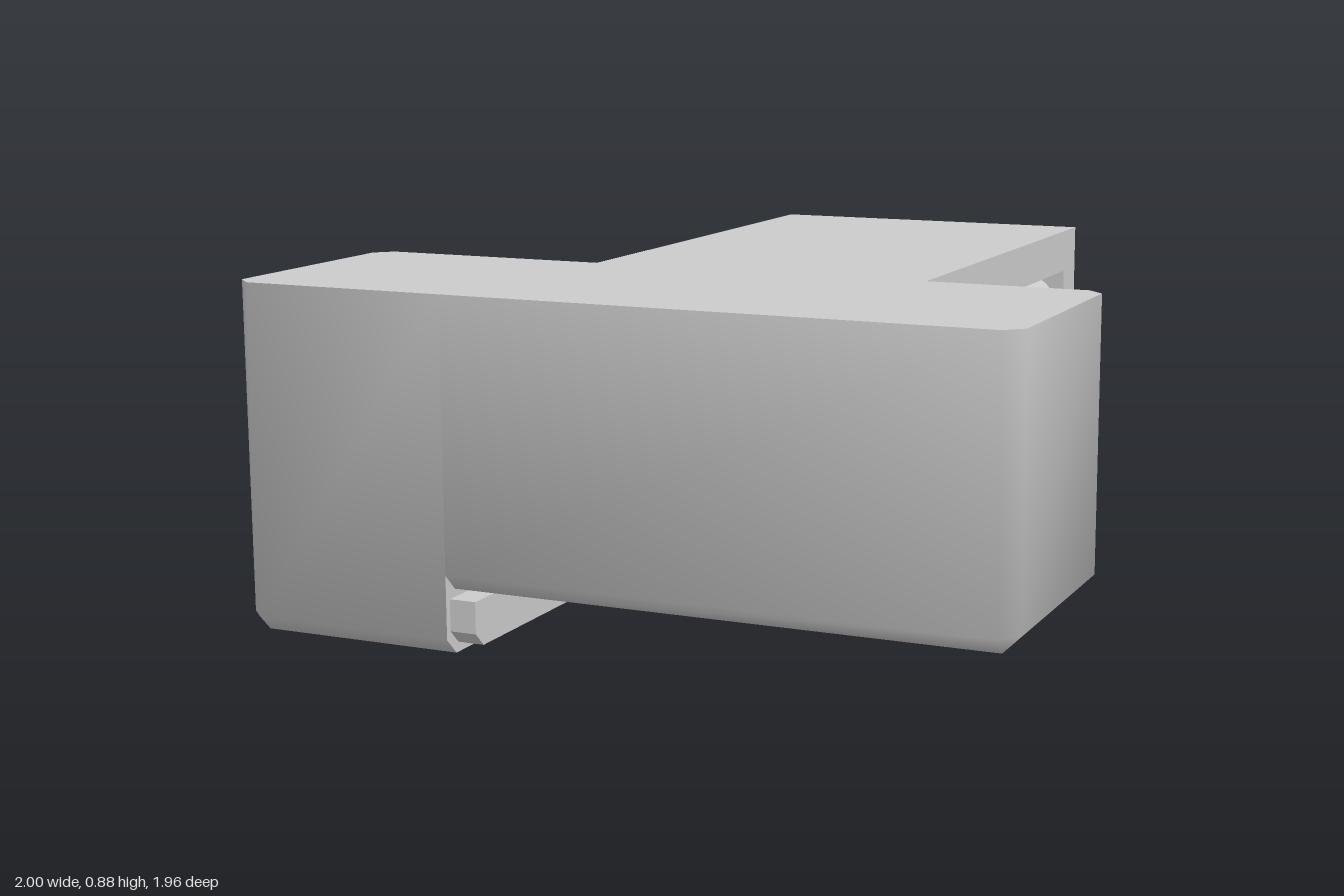
import * as THREE from 'three';

const material = new THREE.MeshStandardMaterial({ color: 0xcccccc, side: THREE.DoubleSide });

// Build a geometry from polygons, each split into a fan
function fromPolygons(polygons) {
  const pos = [];
  for (const p of polygons)
    for (let i = 1; i < p.length - 1; i++) pos.push(...p[0], ...p[i], ...p[i + 1]);
  const g = new THREE.BufferGeometry();
  g.setAttribute('position', new THREE.Float32BufferAttribute(pos, 3));
  g.computeVertexNormals();
  return g;
}

// Same from quads, with every face counting equally in the shared corner normals
function fromSmoothQuads(quads) {
  const sums = new Map();
  for (const q of quads) {
    const [a, b, c, d] = q.map((p) => new THREE.Vector3(...p));
    const normal = c.sub(a).cross(d.sub(b)).normalize();
    for (const key of new Set(q.map(String))) {
      if (!sums.has(key)) sums.set(key, new THREE.Vector3());
      sums.get(key).add(normal);
    }
  }
  const normals = [];
  for (const q of quads)
    for (const i of [0, 1, 2, 0, 2, 3]) normals.push(...sums.get(String(q[i])).clone().normalize());
  const g = fromPolygons(quads);
  g.setAttribute('normal', new THREE.Float32BufferAttribute(normals, 3));
  return g;
}

// Block from x = 0 to length, flat at x = 0, bevelled at the far end and underneath
function bevelledBlock(name, length, y0, y1, half, c) {
  const h = half - c, l = length - c;
  const outline = [[0, -half], [0, half], [l, half], [length, h], [length, -h], [l, -half]];
  const inset = [[0, -h], [0, h], [l, h], [l, h], [l, -h], [l, -h]];
  const ring = (pts, y) => pts.map(([x, z]) => [x, y, z]);
  const top = ring(outline, y1), mid = ring(outline, y0 + c), low = ring(inset, y0);

  const skin = [[low[0], low[4], low[2], low[1]]];
  for (const [a, b] of [[low, mid], [mid, top]])
    for (let i = 1; i < 6; i++) {
      const j = (i + 1) % 6;
      skin.push([a[i], a[j], b[j], b[i]]);
    }
  const caps = [top, [low[0], low[1], mid[1], top[1], top[0], mid[0]]];

  const group = new THREE.Group();
  group.name = name;
  for (const [part, g] of [['Shell', fromSmoothQuads(skin)], ['Caps', fromPolygons(caps)]]) {
    const mesh = new THREE.Mesh(g, material);
    mesh.name = name + part;
    group.add(mesh);
  }
  return group;
}

// Box given by its limits
function box(name, x0, x1, y0, y1, z0, z1) {
  const mesh = new THREE.Mesh(new THREE.BoxGeometry(x1 - x0, y1 - y0, z1 - z0), material);
  mesh.position.set((x0 + x1) / 2, (y0 + y1) / 2, (z0 + z1) / 2);
  mesh.name = name;
  return mesh;
}

export function createModel() {
  const model = new THREE.Group();
  model.name = 'model';

  // Front crossbar and the deeper block at its right end
  const zMid = 0.645, half = 0.335, joint = -0.42;
  const crossbar = bevelledBlock('crossbar', 1 - joint, 0.16, 0.88, half, 0.042);
  crossbar.position.set(joint, 0, zMid);
  const endBlock = bevelledBlock('endBlock', 1 + joint, 0, 0.88, half, 0.042);
  endBlock.rotation.y = Math.PI;
  endBlock.position.set(joint, 0, zMid);
  model.add(crossbar, endBlock);

  // Tab on the inner side of the end block
  const w = 0.313, c = 0.035;
  const tabShape = new THREE.Shape([
    [-w, 0.14], [-w, 0.025 + c], [c - w, 0.025], [w - c, 0.025], [w, 0.025 + c], [w, 0.14],
  ].map(([x, y]) => new THREE.Vector2(x, y)));
  const tabGeometry = new THREE.ExtrudeGeometry(tabShape, { depth: 0.07, bevelEnabled: false });
  tabGeometry.rotateY(Math.PI / 2);
  const tab = new THREE.Mesh(tabGeometry, material);
  tab.position.set(joint, 0, zMid + 0.005);
  tab.name = 'tab';
  model.add(tab);

  // Rear housing with windows at both sides and underneath, and a solid core
  const x0 = -0.35, x1 = 0.55, z0 = -0.98, z1 = 0.31, wall = 0.11;
  const inner = [z0 + wall, z1 - wall];
  const sideRodX = [-0.225, 0.425];
  const housing = new THREE.Group();
  housing.name = 'housing';
  housing.add(
    box('roof', x0, x1, 0.765, 0.88, z0, z1),
    box('backWall', x0, x1, 0.2, 0.765, z0, z0 + wall),
    box('frontWall', x0, x1, 0.2, 0.765, z1 - wall, z1),
    box('rightRail', x0, x0 + wall, 0.2, 0.315, ...inner),
    box('leftRail', x1 - wall, x1, 0.2, 0.315, ...inner),
    box('core', ...sideRodX, 0.435, 0.765, ...inner),
  );
  model.add(housing);

  // Two rods in each side window and one in the bottom window
  const rods = new THREE.Group();
  rods.name = 'rods';
  const rodGeometry = new THREE.CylinderGeometry(0.106, 0.106, z1 - z0 - 2 * wall, 32);
  rodGeometry.rotateX(Math.PI / 2);
  const places = [[0.1, 0.33]];
  for (const x of sideRodX) places.push([x, 0.435], [x, 0.648]);
  for (const [x, y] of places) {
    const rod = new THREE.Mesh(rodGeometry, material);
    rod.position.set(x, y, (z0 + z1) / 2);
    rod.name = 'rod';
    rods.add(rod);
  }
  model.add(rods);

  return model;
}
